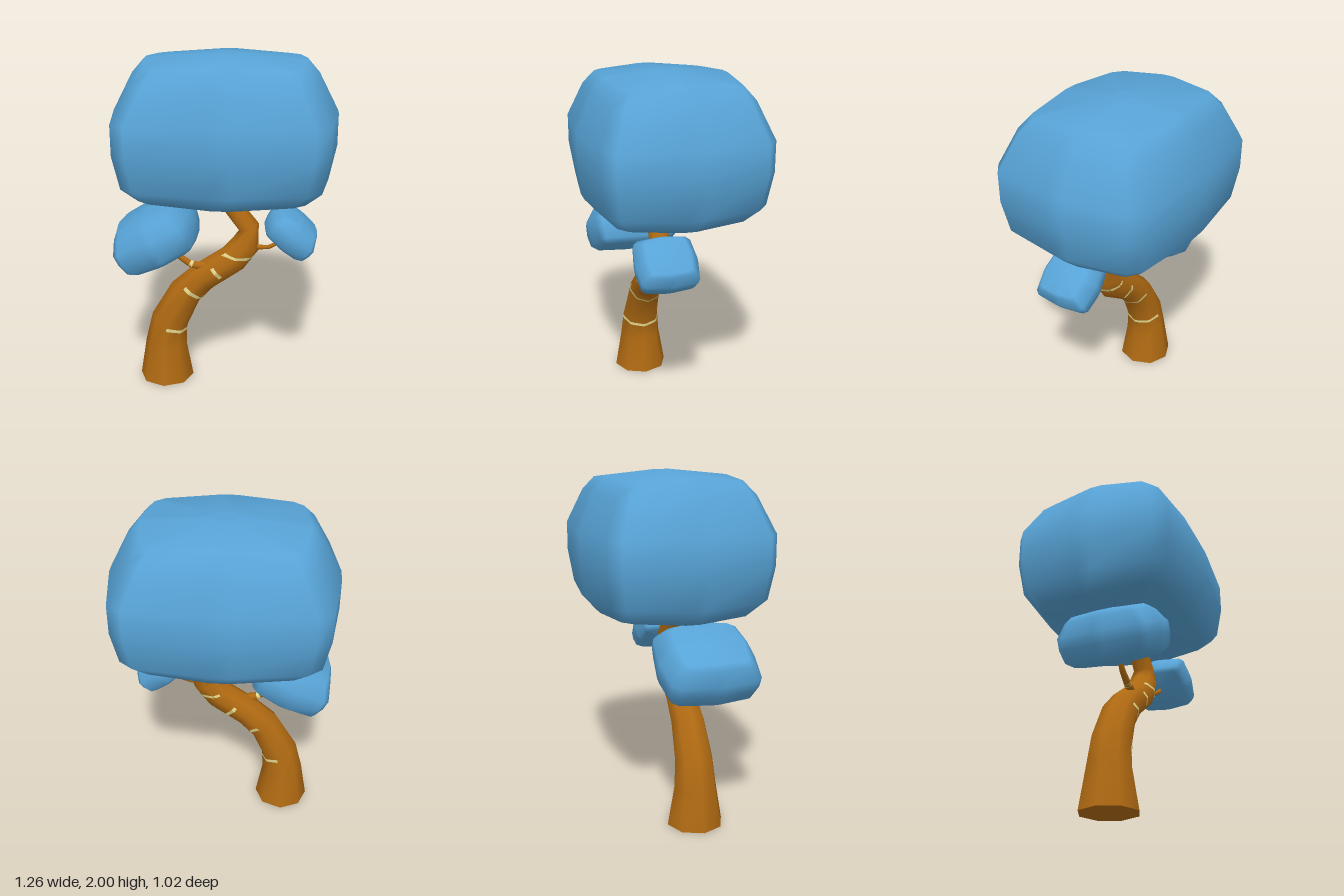
import * as THREE from 'three';

const leaf = new THREE.MeshStandardMaterial({ color: 0x57a3d6 });
leaf.name = 'leafBlue';
const bark = new THREE.MeshStandardMaterial({ color: 0xb06a12 });
bark.name = 'barkBrown';
const pale = new THREE.MeshStandardMaterial({ color: 0xe0d58a, side: THREE.DoubleSide });
pale.name = 'paleBand';

// Skin rows of points; closed rows wrap round and get flat caps
function skin(rows, closed) {
  const pos = [], idx = [], n = rows[0].length;
  rows.forEach(row => row.forEach(p => pos.push(p.x, p.y, p.z)));
  const cols = closed ? n : n - 1;
  for (let i = 0; i < rows.length - 1; i++) {
    for (let j = 0; j < cols; j++) {
      const a = i * n + j, b = i * n + (j + 1) % n;
      idx.push(a, a + n, b, b, a + n, b + n);
    }
  }
  if (closed) {
    [rows[0], rows[rows.length - 1]].forEach((row, end) => {
      const s = pos.length / 3;
      row.forEach(p => pos.push(p.x, p.y, p.z));
      for (let j = 1; j < n - 1; j++) {
        if (end) idx.push(s, s + j + 1, s + j);
        else idx.push(s, s + j, s + j + 1);
      }
    });
  }
  const g = new THREE.BufferGeometry();
  g.setAttribute('position', new THREE.Float32BufferAttribute(pos, 3));
  g.setIndex(idx);
  g.computeVertexNormals();
  return g;
}

function addMesh(parent, geometry, material, name) {
  const m = new THREE.Mesh(geometry, material);
  m.name = name;
  parent.add(m);
  return m;
}

// Bulged block with bevelled edges: [height, half width, half depth]
function foliageGeometry() {
  const levels = [
    [-0.415, 0.06, 0.05], [-0.375, 0.5, 0.4], [-0.285, 0.59, 0.48], [-0.085, 0.63, 0.51],
    [0.095, 0.63, 0.51], [0.305, 0.52, 0.42], [0.385, 0.45, 0.355], [0.415, 0.06, 0.05],
  ];
  const quarter = [[1, 0.1], [0.92, 0.79], [0.79, 0.92], [0.1, 1]];
  const rows = levels.map(([y, w, d]) => {
    const row = [];
    for (let q = 0; q < 4; q++) {
      quarter.forEach(([a, b], k) => {
        let x = a, z = b;
        for (let r = 0; r < q; r++) [x, z] = [-z, x];
        const corner = k === 1 || k === 2;
        const drop = corner && w > 0.1 ? 0.95 : 1;
        row.push(new THREE.Vector3(x * w, y * drop, z * d));
      });
    }
    return row;
  });
  return skin(rows, true);
}

// Tapered limb through [x, y, z, radius] stations, bending in the front plane
class Limb {
  constructor(stations, sides) {
    this.sides = sides;
    const last = stations.length - 1;
    this.centres = stations.map(s => new THREE.Vector3(s[0], s[1], s[2]));
    this.rows = stations.map((s, i) => {
      const p = stations[Math.max(i - 1, 0)], q = stations[Math.min(i + 1, last)];
      const len = Math.hypot(q[0] - p[0], q[1] - p[1]);
      const nx = (q[1] - p[1]) / len, ny = -(q[0] - p[0]) / len;
      return Array.from({ length: sides }, (_, j) => {
        const t = j / sides * Math.PI * 2, c = Math.cos(t) * s[3];
        return new THREE.Vector3(s[0] + nx * c, s[1] + ny * c, s[2] + Math.sin(t) * s[3]);
      });
    });
  }
  geometry() { return skin(this.rows, true); }
  // Point just above the surface at station u and angle in degrees
  at(u, degrees, grow) {
    const i = Math.min(Math.floor(u), this.rows.length - 2), f = u - i;
    const v = (degrees / 360 + 1) * this.sides, j = Math.floor(v), g = v - j;
    const edge = r => this.rows[r][j % this.sides].clone()
      .lerp(this.rows[r][(j + 1) % this.sides], g);
    const centre = this.centres[i].clone().lerp(this.centres[i + 1], f);
    return edge(i).lerp(edge(i + 1), f).sub(centre).multiplyScalar(grow).add(centre);
  }
  // Thin stripe over an arc, optionally tilted along the limb
  band(u, width, from, to, tilt = 0) {
    const steps = 16;
    const rows = [-0.5, 0.5].map(k => Array.from({ length: steps + 1 }, (_, s) => {
      const a = from + (to - from) * s / steps;
      return this.at(u + k * width + tilt * Math.cos(a * Math.PI / 180), a, 1.04);
    }));
    return skin(rows, false);
  }
}

export function createModel() {
  const tree = new THREE.Group();
  tree.name = 'tree';

  // Crown and two side clumps share one shape
  const foliage = foliageGeometry();
  const clumps = [
    ['crown', [0, 1.585, 0], [1, 1, 1], 0],
    ['rightClump', [-0.4, 0.968, 0.11], [0.385, 0.375, 0.545], 27],
    ['leftClump', [0.39, 1.0, 0.1], [0.25, 0.24, 0.345], -40],
  ];
  for (const [name, position, scale, angle] of clumps) {
    const m = addMesh(tree, foliage, leaf, name);
    m.position.set(...position);
    m.scale.set(...scale);
    m.rotation.z = THREE.MathUtils.degToRad(angle);
  }

  // Trunk and branches
  const trunk = new Limb([
    [-0.365, 0, 0.067, 0.165], [-0.365, 0.23, 0.067, 0.126], [-0.34, 0.38, 0.067, 0.113],
    [-0.24, 0.57, 0.065, 0.1], [-0.13, 0.675, 0.065, 0.092], [0.05, 0.8, 0.067, 0.09],
    [0.12, 0.89, 0.066, 0.085], [0.14, 1.0, 0.062, 0.063], [0.0, 1.18, 0.057, 0.055],
    [-0.03, 1.22, 0.057, 0.05],
  ], 8);
  trunk.rows[0].forEach(p => { p.y = 0; });
  const rightBranch = new Limb([
    [-0.02, 0.76, 0.08, 0.035], [-0.12, 0.75, 0.09, 0.028], [-0.2, 0.765, 0.1, 0.022],
    [-0.27, 0.815, 0.1, 0.018], [-0.31, 0.87, 0.1, 0.015], [-0.32, 0.91, 0.1, 0.012],
  ], 8);
  const leftBranch = new Limb([
    [0.13, 0.885, 0.066, 0.02], [0.21, 0.878, 0.075, 0.015], [0.26, 0.885, 0.085, 0.013],
    [0.31, 0.915, 0.095, 0.012], [0.335, 0.95, 0.1, 0.01],
  ], 8);
  addMesh(tree, trunk.geometry(), bark, 'trunk');
  addMesh(tree, rightBranch.geometry(), bark, 'rightBranch');
  addMesh(tree, leftBranch.geometry(), bark, 'leftBranch');

  // Pale bark stripes: limb, station, width, start angle, end angle, tilt
  const bands = [
    [trunk, 1.86, 0.14, -85, 92, 0],
    [trunk, 3.32, 0.15, -90, 115, 0],
    [trunk, 4.45, 0.1, 60, 115, 0],
    [trunk, 4.45, 0.1, -105, -40, 0],
    [trunk, 5.3, 0.17, -115, 140, 0.45],
    [rightBranch, 2, 0.25, 0, 360, 0],
  ];
  for (const [limb, ...spec] of bands) addMesh(tree, limb.band(...spec), pale, 'barkStripe');

  return tree;
}
